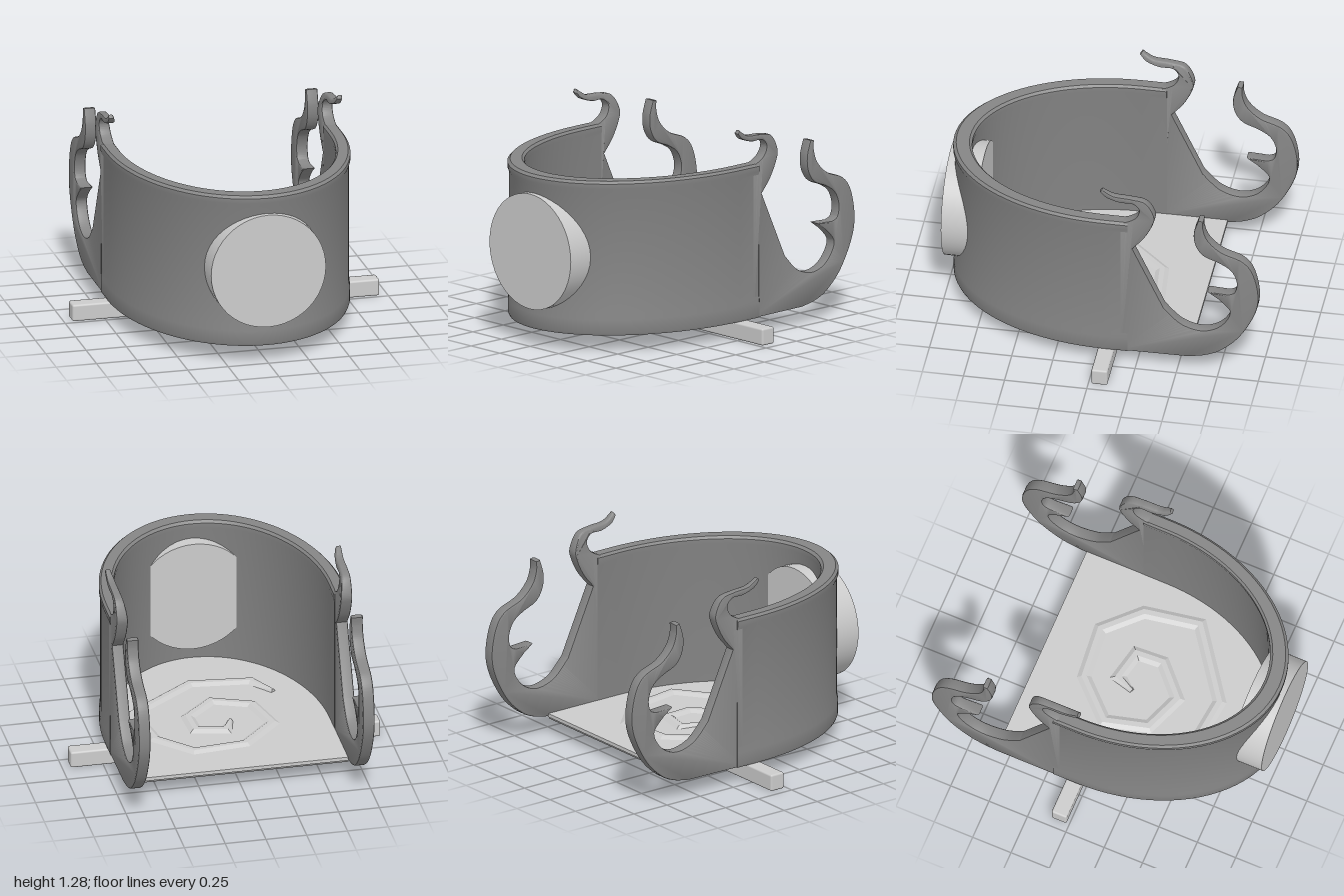
import * as THREE from 'three';
import { toCreasedNormals } from 'three/addons/utils/BufferGeometryUtils.js';
import { RoundedBoxGeometry } from 'three/addons/geometries/RoundedBoxGeometry.js';

const light = new THREE.MeshStandardMaterial({ color: 0xcccccc });
const dark = new THREE.MeshStandardMaterial({ color: 0x858585 });

const ZC = -0.05; // where the straight sides turn into the curved front

function add(group, name, geometry, material) {
  const mesh = new THREE.Mesh(geometry, material);
  mesh.name = name;
  group.add(mesh);
  return mesh;
}

// Joins closed cross-sections (rings of [x, y, z]) into a capped solid
function loft(rings, crease) {
  const n = rings[0].length, pos = rings.flat(2), idx = [];
  for (let i = 0; i < rings.length - 1; i++) {
    for (let j = 0; j < n; j++) {
      const k = (j + 1) % n;
      const a = i * n + j, b = (i + 1) * n + j, c = (i + 1) * n + k, d = i * n + k;
      idx.push(a, b, c, a, c, d);
    }
  }
  const last = (rings.length - 1) * n;
  for (let j = 1; j < n - 1; j++) {
    idx.push(0, j, j + 1, last, last + j + 1, last + j);
  }
  const g = new THREE.BufferGeometry();
  g.setAttribute('position', new THREE.Float32BufferAttribute(pos, 3));
  g.setIndex(idx);
  return toCreasedNormals(g, crease);
}

// U-shaped wall; section pairs are [0 inner .. 1 outer, height]
function wallGeometry() {
  const section = [
    [0.9, 1.055], [1.08, 1.04], [1.08, 1.01], [0.98, 0.985], [0.98, 0.24], [1.05, 0.2],
    [1.05, 0.12], [0.98, 0.105], [0.02, 0.105], [0, 0.13], [0, 0.985], [-0.06, 1.01],
    [-0.06, 1.04], [0.1, 1.055],
  ];
  const ring = (angle, back) => section.map(([w, y]) => [
    (0.65 + 0.075 * w) * Math.cos(angle), y,
    ZC - back + (0.92 + 0.1 * w) * Math.sin(angle),
  ]);
  const rings = [ring(0, 0.15)];
  for (let i = 0; i <= 48; i++) rings.push(ring(Math.PI * i / 48, 0));
  rings.push(ring(Math.PI, 0.15));
  return loft(rings, 0.6);
}

// Rear side panel with its two curling horns, drawn in (z, y)
function sidePanelGeometry(side) {
  const v = (list) => list.map(([z, y]) => new THREE.Vector2(z, y));
  const s = new THREE.Shape();
  s.moveTo(-0.15, 0.105);
  s.lineTo(-0.56, 0.108);
  // outer edge of the lower horn
  s.splineThru(v([[-0.67, 0.13], [-0.77, 0.18], [-0.88, 0.29], [-0.97, 0.46], [-0.995, 0.6],
    [-0.965, 0.76], [-0.9, 0.85], [-0.77, 0.905], [-0.69, 0.98], [-0.66, 1.06], [-0.66, 1.12]]));
  s.lineTo(-0.63, 1.125);
  // inner edge down to the thorn
  s.splineThru(v([[-0.602, 1.03], [-0.61, 0.94], [-0.66, 0.865], [-0.76, 0.82], [-0.83, 0.77],
    [-0.862, 0.69], [-0.85, 0.62], [-0.81, 0.598]]));
  s.lineTo(-0.685, 0.603);
  s.lineTo(-0.75, 0.555);
  // round opening
  s.splineThru(v([[-0.82, 0.475], [-0.79, 0.39], [-0.72, 0.33], [-0.63, 0.312], [-0.52, 0.35],
    [-0.42, 0.45]]));
  s.lineTo(-0.23, 0.865);
  // upper horn
  s.splineThru(v([[-0.3, 0.95], [-0.35, 1.05], [-0.36, 1.12], [-0.31, 1.21], [-0.22, 1.232],
    [-0.12, 1.24], [-0.07, 1.265], [-0.045, 1.285]]));
  s.lineTo(-0.03, 1.265);
  s.splineThru(v([[-0.07, 1.225], [-0.15, 1.198], [-0.23, 1.195], [-0.268, 1.155],
    [-0.25, 1.1], [-0.2, 1.065], [-0.15, 1.05]]));
  s.closePath();

  const depth = 0.047, bevel = 0.013;
  let g = new THREE.ExtrudeGeometry(s, {
    depth, curveSegments: 30, bevelEnabled: true, bevelThickness: bevel,
    bevelSize: 0.009, bevelOffset: -0.009, bevelSegments: 2,
  });
  g.translate(0, 0, -depth / 2);
  g.rotateY(-Math.PI / 2);
  g.translate(side * 0.6875, 0, 0);
  // thin the upper horn towards its outer face
  const p = g.attributes.position;
  for (let i = 0; i < p.count; i++) {
    const y = p.getY(i);
    if (y > 1.06 && p.getZ(i) > -0.45) {
      const t = Math.min(1, (y - 1.06) / 0.23);
      const x = Math.abs(p.getX(i));
      p.setX(i, side * (x + (0.722 - x) * 0.65 * t * t));
    }
  }
  g.deleteAttribute('normal');
  g.deleteAttribute('uv');
  return toCreasedNormals(g, 0.7);
}

// Flat plate filling the U
function plateGeometry(a, b, rear, y, height) {
  const s = new THREE.Shape();
  s.moveTo(a, -ZC);
  s.lineTo(a, -rear);
  s.lineTo(-a, -rear);
  s.lineTo(-a, -ZC);
  s.absellipse(0, -ZC, a, b, Math.PI, 2 * Math.PI, false);
  const g = new THREE.ExtrudeGeometry(s, { depth: height, curveSegments: 40, bevelEnabled: false });
  g.rotateX(-Math.PI / 2);
  g.translate(0, y, 0);
  return g;
}

// Angular spiral rib following (x, z) corners, with mitred joints
function spiralGeometry(top, bottom) {
  const pts = [[-0.39, 0.34], [-0.29, 0.5], [0.08, 0.54], [0.49, 0.24], [0.43, -0.1], [0.23, -0.3],
    [-0.09, -0.27], [-0.3, -0.05], [-0.23, 0.21], [0, 0.3], [0.18, 0.13], [0.17, -0.04],
    [-0.01, -0.08], [-0.06, 0.03]].map(([x, z]) => new THREE.Vector2(x, z));
  const rings = pts.map((p, i) => {
    const d0 = p.clone().sub(pts[Math.max(i - 1, 0)]).normalize();
    const d1 = pts[Math.min(i + 1, pts.length - 1)].clone().sub(p).normalize();
    const d = d0.clone().add(d1).normalize();
    const miter = 1 / Math.max(0.5, d.dot(d1.lengthSq() ? d1 : d0));
    const taper = i === 0 || i === pts.length - 1 ? 0.4 : 1;
    const at = (w, y) => [p.x + d.y * w * miter * taper, y, p.y - d.x * w * miter * taper];
    return [at(0.015, top), at(0.045, (top + bottom) / 2), at(0.015, bottom),
      at(-0.015, bottom), at(-0.045, (top + bottom) / 2), at(-0.015, top)];
  });
  return loft(rings, 0.3);
}

export function createModel() {
  const model = new THREE.Group();
  model.name = 'chariotBody';

  // Wall and horned rear sides
  add(model, 'curvedWall', wallGeometry(), dark);
  add(model, 'leftSidePanel', sidePanelGeometry(1), dark);
  add(model, 'rightSidePanel', sidePanelGeometry(-1), dark);

  // Floor, its underside and the spiral relief
  add(model, 'floor', plateGeometry(0.655, 0.93, -0.57, 0.108, 0.022), light);
  add(model, 'floorUnderside', plateGeometry(0.655, 0.93, -0.56, 0.094, 0.014), dark);
  add(model, 'floorSpiral', spiralGeometry(0.146, 0.108), light);
  add(model, 'undersideSpiral', spiralGeometry(0.108, 0.081), dark);

  // Axle bar
  const axle = add(model, 'axle', new RoundedBoxGeometry(1.9, 0.104, 0.098, 2, 0.012), light);
  axle.position.set(0, 0.052, -0.067);

  // Round boss set through the front wall
  const boss = add(model, 'frontDisc', new THREE.CylinderGeometry(0.355, 0.355, 0.21, 48), light);
  boss.rotation.x = Math.PI / 2;
  boss.position.set(0, 0.585, 0.895);

  return model;
}
